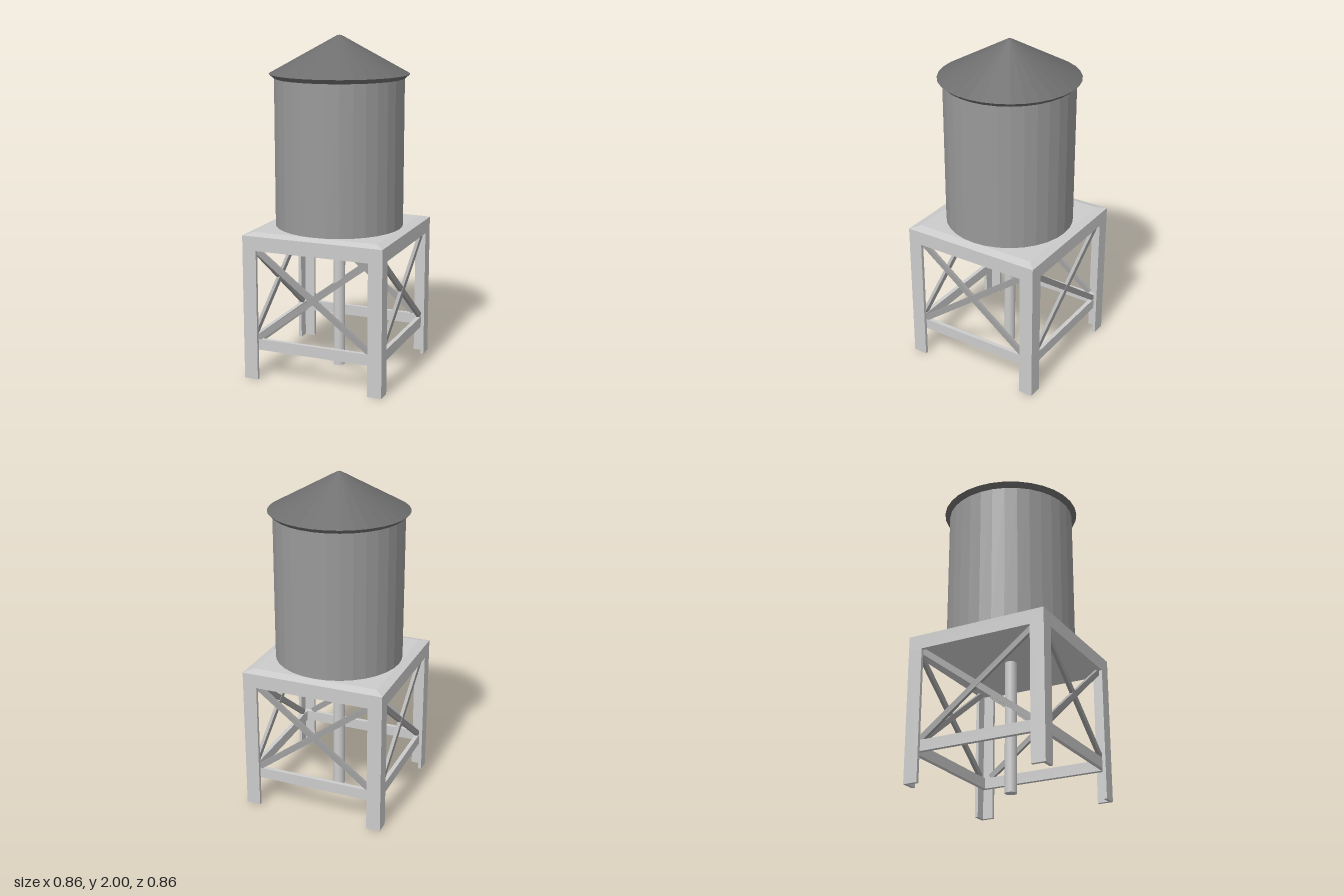
import * as THREE from 'three';

const mat = (color, extra = {}) => new THREE.MeshStandardMaterial({ color, ...extra });
const frameMat = mat(0xcccccc);
const braceMat = mat(0xa0a0a0);
const tankMat = mat(0x999999, { flatShading: true });
const roofMat = mat(0x6e6e6e, { flatShading: true });

function add(parent, name, geometry, material, x = 0, y = 0, z = 0) {
  const mesh = new THREE.Mesh(geometry, material);
  mesh.name = name;
  mesh.position.set(x, y, z);
  parent.add(mesh);
  return mesh;
}

export function createModel() {
  const model = new THREE.Group();
  model.name = 'waterTower';

  const half = 0.43;      // half width of the stand
  const legWidth = 0.085;
  const plate = 0.02;     // thickness of the angle iron
  const deckBottom = 0.785, deckEdge = 0.87, deckTop = 0.885;

  // L-shaped leg section, corner at the outside
  const inner = half - legWidth, web = half - plate;
  const section = new THREE.Shape([
    [half, half], [inner, half], [inner, web], [web, web], [web, inner], [half, inner],
  ].map(([x, y]) => new THREE.Vector2(x, y)));
  const legGeo = new THREE.ExtrudeGeometry(section, { depth: deckBottom, bevelEnabled: false });
  legGeo.rotateX(-Math.PI / 2);

  // Diagonal brace spans
  const low = 0.25, high = 0.78, reach = 0.35;
  const braceLength = Math.hypot(2 * reach, high - low);
  const braceAngle = Math.atan2(high - low, 2 * reach);

  // Four identical sides: a leg, a cross beam and a pair of braces
  for (let i = 0; i < 4; i++) {
    const side = new THREE.Group();
    side.name = 'standSide';
    side.rotation.y = i * Math.PI / 2;
    add(side, 'leg', legGeo, frameMat);
    add(side, 'crossBeam', new THREE.BoxGeometry(2 * web, 0.065, 0.025), frameMat, 0, 0.2125, web - 0.0125);
    for (const s of [-1, 1]) {
      const brace = add(side, 'brace', new THREE.BoxGeometry(braceLength, 0.034, 0.02), braceMat,
        0, (low + high) / 2, web - 0.012 + s * 0.001);
      brace.rotation.z = s * braceAngle;
    }
    model.add(side);
  }

  // Deck with a shallow bevelled top
  add(model, 'deck', new THREE.BoxGeometry(2 * half, deckEdge - deckBottom, 2 * half), frameMat,
    0, (deckBottom + deckEdge) / 2, 0);
  const bevel = new THREE.CylinderGeometry(0.38 * Math.SQRT2, half * Math.SQRT2, deckTop - deckEdge, 4);
  bevel.rotateY(Math.PI / 4);
  add(model, 'deckTop', bevel, mat(0xcccccc, { flatShading: true }), 0, (deckTop + deckEdge) / 2, 0);

  // Central supply pipe
  add(model, 'pipe', new THREE.CylinderGeometry(0.035, 0.035, deckBottom, 16), frameMat, 0, deckBottom / 2, 0);

  // Tank barrel
  const tankHeight = 1.77 - deckTop;
  add(model, 'tank', new THREE.CylinderGeometry(0.38, 0.38, tankHeight, 32), tankMat,
    0, deckTop + tankHeight / 2, 0);

  // Conical roof with an undercut eave and a tiny flat tip
  const profile = [[0, 1.755], [0.382, 1.755], [0.41, 1.78], [0.012, 1.999], [0, 2]]
    .map(([r, y]) => new THREE.Vector2(r, y));
  add(model, 'roof', new THREE.LatheGeometry(profile, 32), roofMat);

  return model;
}
